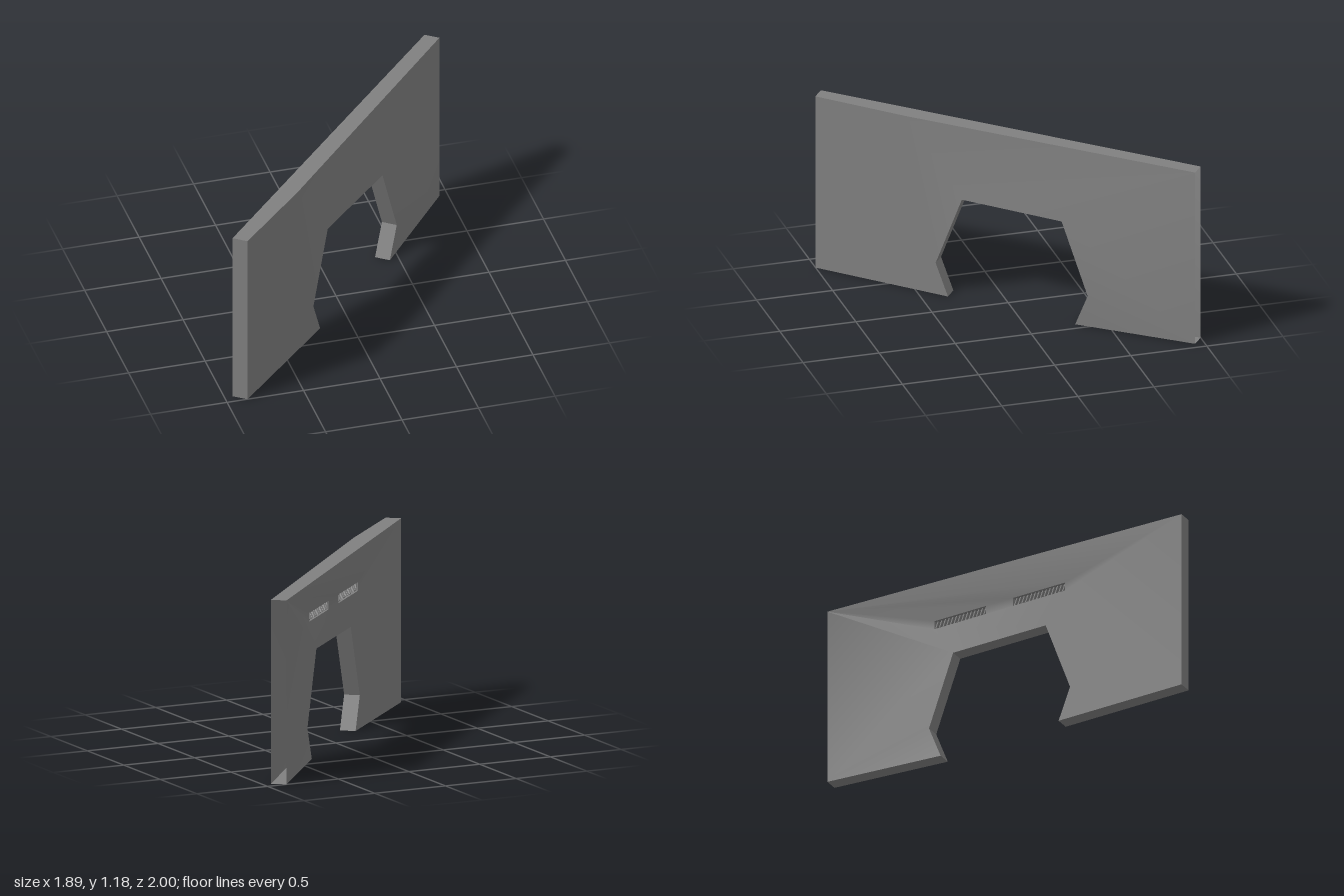
import * as THREE from 'three';
import { toCreasedNormals } from 'three/addons/utils/BufferGeometryUtils.js';

const material = new THREE.MeshStandardMaterial({ color: 0x808080, side: THREE.DoubleSide });
const HEIGHT = 1.18;
const PLANE = 0.134; // x + z on the main front plane
const BACK = new THREE.Vector3(-0.08, 0, -0.06); // offset from front to back
const INWARD = new THREE.Vector3(0.022, 0, 0.022); // depth of the vent recesses

const onPlane = (x, y) => new THREE.Vector3(x, y, PLANE - x);
const moved = (points, offset) => points.map((p) => p.clone().add(offset));
const flat = (points) => points.map((p) => new THREE.Vector2(p.x, p.y));

// Geometry from a list of corners, three to a triangle
function meshFrom(name, corners) {
  const geometry = toCreasedNormals(new THREE.BufferGeometry().setFromPoints(corners), 0.5);
  const mesh = new THREE.Mesh(geometry, material);
  mesh.name = name;
  return mesh;
}

// Fill an outline with openings
function fill(outline, holes, reverse) {
  const all = [...outline, ...holes.flat()];
  const corners = [];
  for (const [a, b, c] of THREE.ShapeUtils.triangulateShape(flat(outline), holes.map(flat))) {
    corners.push(all[a], all[reverse ? c : b], all[reverse ? b : c]);
  }
  return corners;
}

// Strip of quads between two matching loops
function strip(from, to, skip = -1) {
  const corners = [];
  from.forEach((p, i) => {
    if (i === skip) return;
    const j = (i + 1) % from.length;
    corners.push(p, to[i], from[j], from[j], to[i], to[j]);
  });
  return corners;
}

export function createModel() {
  const group = new THREE.Group();

  // Outline, anticlockwise from the front, including the archway
  const front = [
    onPlane(-0.867, 0), onPlane(-0.2, 0), onPlane(-0.262, 0.213), onPlane(-0.13, 0.688),
    onPlane(0.372, 0.688), onPlane(0.503, 0.213), onPlane(0.44, 0),
    new THREE.Vector3(0.946, 0, -0.94), new THREE.Vector3(0.946, HEIGHT, -0.94),
    onPlane(-0.41, HEIGHT + 0.0005), // bend, a hair high so triangulation keeps it
    onPlane(-0.867, HEIGHT),
  ];
  const back = moved(front, BACK);

  // Two vent openings above the arch, in the back only
  const vents = [[-0.234, 0.047], [0.193, 0.474]].map(([x0, x1]) =>
    moved([onPlane(x0, 0.89), onPlane(x1, 0.89), onPlane(x1, 0.945), onPlane(x0, 0.945)], BACK));

  group.add(meshFrom('frontFace', fill(front, [], false)));
  group.add(meshFrom('backFace', fill(back, vents, true)));
  // Edges and arch reveal; the end at +x stays open
  group.add(meshFrom('wallEdges', strip(front, back, 7)));

  for (const vent of vents) {
    const floor = moved(vent, INWARD);
    const recess = new THREE.Group();
    recess.name = 'vent';
    recess.add(meshFrom('ventSides', strip(floor, vent)));
    recess.add(meshFrom('ventFloor', fill(floor, [], true)));

    // Slanted slats
    const count = 14;
    for (let i = 0; i < count; i++) {
      const slat = new THREE.Mesh(new THREE.BoxGeometry(0.008, 0.05, 0.022), material);
      slat.name = 'ventSlat';
      slat.position.lerpVectors(vent[0], vent[1], (i + 0.5) / count).addScaledVector(INWARD, 0.6);
      slat.position.y = 0.9175;
      slat.rotation.set(0, Math.PI / 4, 0.4);
      recess.add(slat);
    }
    group.add(recess);
  }
  return group;
}
